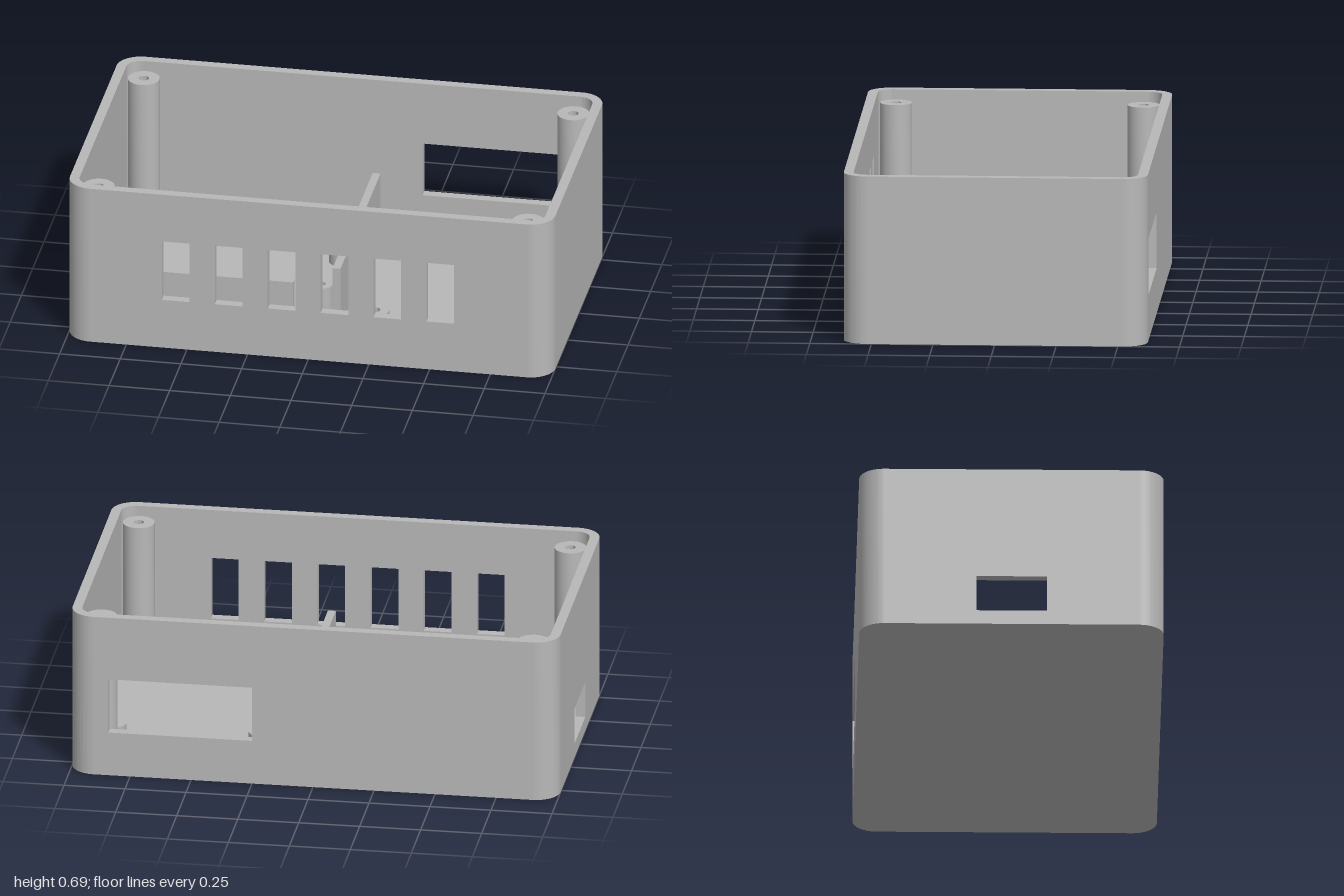
import * as THREE from 'three';
import { toCreasedNormals } from 'three/addons/utils/BufferGeometryUtils.js';

const HX = 1, HZ = 0.617, H = 0.69; // half width, half depth, height
const WALL = 0.04, FLOOR = 0.04, R = 0.1;
const SEG = 12;

export function createModel() {
  const model = new THREE.Group();
  const grey = new THREE.MeshStandardMaterial({ color: 0xb8b8b8 });
  grey.name = 'grey plastic';

  const add = (name, geometry, x = 0, y = 0, z = 0, turn = 0) => {
    const mesh = new THREE.Mesh(geometry, grey);
    mesh.name = name;
    mesh.position.set(x, y, z);
    mesh.rotation.y = turn;
    model.add(mesh);
    return mesh;
  };

  const extrude = (shape, depth) => toCreasedNormals(
    new THREE.ExtrudeGeometry(shape, { depth, bevelEnabled: false, curveSegments: SEG }), 0.6);
  const extrudeUp = (shape, height) => extrude(shape, height).rotateX(-Math.PI / 2);

  const rect = (Type, x0, y0, x1, y1) => {
    const p = new Type();
    p.moveTo(x0, y0);
    p.lineTo(x1, y0);
    p.lineTo(x1, y1);
    p.lineTo(x0, y1);
    p.closePath();
    return p;
  };

  // Flat wall with rectangular cut-outs, outer face towards +z
  const wall = (halfLength, openings) => {
    const shape = rect(THREE.Shape, -halfLength, 0, halfLength, H);
    for (const o of openings) shape.holes.push(rect(THREE.Path, ...o));
    return extrude(shape, WALL).translate(0, 0, -WALL);
  };

  // Six slots in the front, one wide opening in the back, one port in the right side
  const slots = [];
  for (let i = 0; i < 6; i++) {
    const x = -0.546 + i * 0.218;
    slots.push([x - 0.057, 0.215, x + 0.057, 0.48]);
  }
  add('frontWall', wall(HX - R, slots), 0, 0, HZ);
  add('backWall', wall(HX - R, [[-0.84, 0.187, -0.25, 0.42]]), 0, 0, -HZ, Math.PI);
  add('leftWall', wall(HZ - R, []), HX, 0, 0, Math.PI / 2);
  add('rightWall', wall(HZ - R, [[-0.143, 0.06, 0.143, 0.213]]), -HX, 0, 0, -Math.PI / 2);

  // Rounded corners joining the walls
  const arc = new THREE.Shape();
  arc.absarc(0, 0, R, 0, Math.PI / 2, false);
  arc.absarc(0, 0, R - WALL, Math.PI / 2, 0, true);
  arc.closePath();
  const corner = extrudeUp(arc, H);
  [[1, -1], [-1, -1], [-1, 1], [1, 1]].forEach(([sx, sz], i) =>
    add('roundedCorner', corner, sx * (HX - R), 0, sz * (HZ - R), i * Math.PI / 2));

  // Floor fitted inside the walls
  const floor = new THREE.Shape();
  const cx = HX - R, cz = HZ - R, r = R - WALL;
  floor.absarc(cx, cz, r, 0, Math.PI / 2, false);
  floor.absarc(-cx, cz, r, Math.PI / 2, Math.PI, false);
  floor.absarc(-cx, -cz, r, Math.PI, Math.PI * 1.5, false);
  floor.absarc(cx, -cz, r, Math.PI * 1.5, Math.PI * 2, false);
  floor.closePath();
  add('floor', extrudeUp(floor, FLOOR));

  // Hollow round posts standing on the floor
  const post = (radius, bore, top) => {
    const ring = new THREE.Shape();
    ring.absarc(0, 0, radius, 0, Math.PI * 2, false);
    const hole = new THREE.Path();
    hole.absarc(0, 0, bore, 0, Math.PI * 2, true);
    ring.holes.push(hole);
    return extrudeUp(ring, top - FLOOR);
  };
  const lidPost = post(0.065, 0.021, 0.65);
  const largeStandoff = post(0.058, 0.021, 0.145);
  const smallStandoff = post(0.047, 0.018, 0.145);
  for (const s of [-1, 1]) {
    for (const x of [-0.885, 0.885]) add('lidScrewPost', lidPost, x, FLOOR, s * 0.502);
    for (const x of [0.237, 0.855]) add('largeStandoff', largeStandoff, x, FLOOR, s * 0.408);
    for (const x of [-0.877, -0.021]) add('smallStandoff', smallStandoff, x, FLOOR, s * 0.213);
  }

  // Upright ribs and the divider between the two bays
  const slab = (name, w, top, d, x, z) =>
    add(name, new THREE.BoxGeometry(w, top - FLOOR, d), x, (top + FLOOR) / 2, z);
  for (const s of [-1, 1]) slab('supportRib', 0.655, 0.18, 0.032, -0.45, s * 0.277);
  slab('divider', 0.032, 0.335, 0.89, 0.085, 0);

  return model;
}
